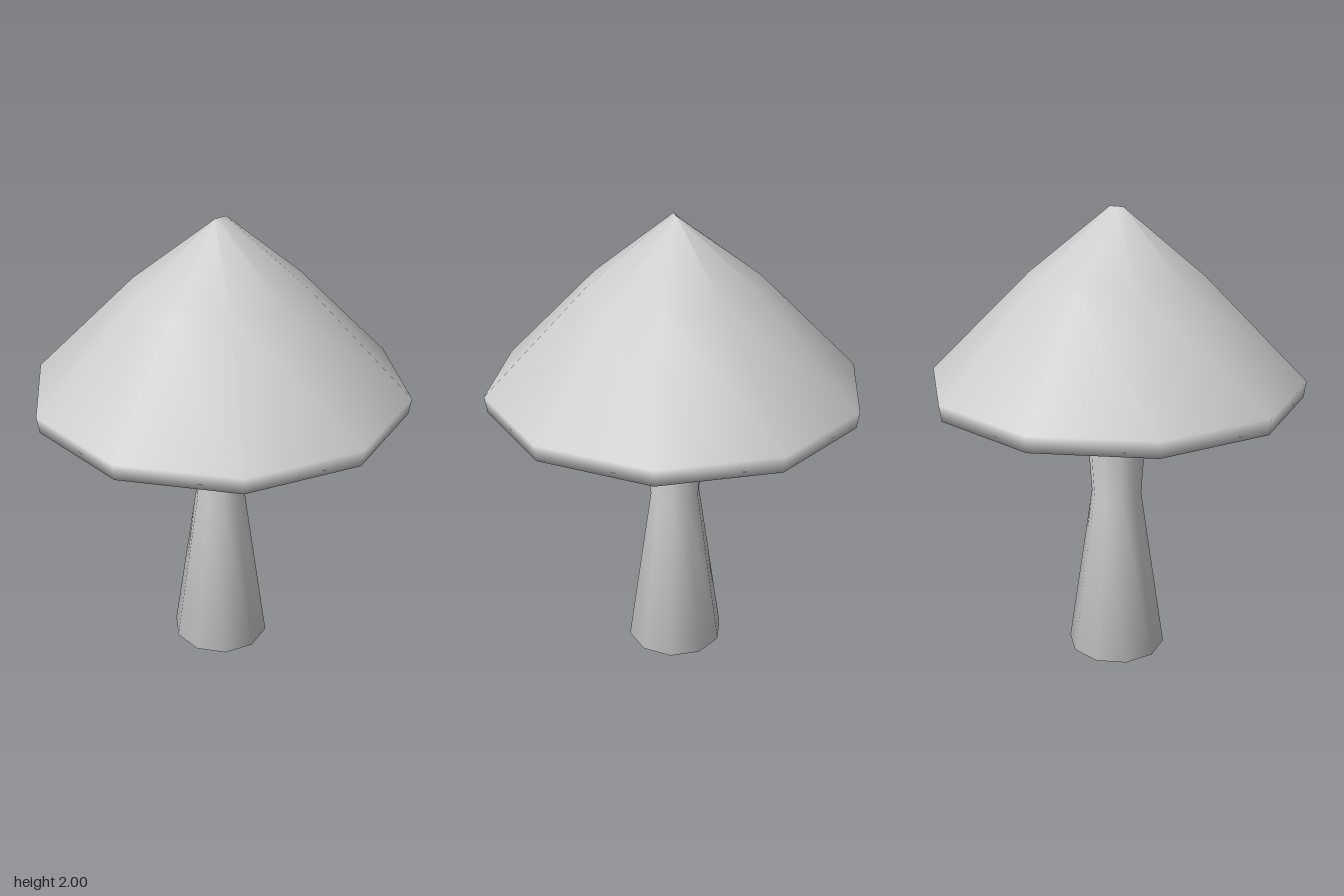
import * as THREE from 'three';

const SIDES = 10;
const grey = new THREE.MeshStandardMaterial({ color: 0xcccccc });

// Smooth-shaded ten-sided turned part from [radius, height] points, bottom to top.
function turned(name, profile) {
  const points = profile.map(([r, y]) => new THREE.Vector2(r, y));
  const mesh = new THREE.Mesh(new THREE.LatheGeometry(points, SIDES), grey);
  mesh.name = name;
  return mesh;
}

export function createModel() {
  const group = new THREE.Group();
  group.name = 'mushroom';

  // Stem: closed foot, narrow waist, slight flare under the cap
  group.add(turned('stem', [[0, 0], [0.218, 0], [0.11, 0.75], [0.138, 1.18]]));

  // Cap: shallow hollow underside, short rim, then two slopes to the tip
  const capProfile = [
    [0.138, 1.18], [0.61, 1.28], [0.79, 1.22], [0.8, 1.29], [0.365, 1.725], [0, 2],
  ];
  const cap = turned('cap', capProfile);

  // Spread the tip into a short ridge along x
  const position = cap.geometry.attributes.position;
  const rows = capProfile.length;
  for (let i = 0; i <= SIDES; i++) {
    const side = Math.round(Math.sin((i / SIDES) * Math.PI * 2));
    position.setX(i * rows + rows - 1, 0.03 * side);
  }
  group.add(cap);

  return group;
}
